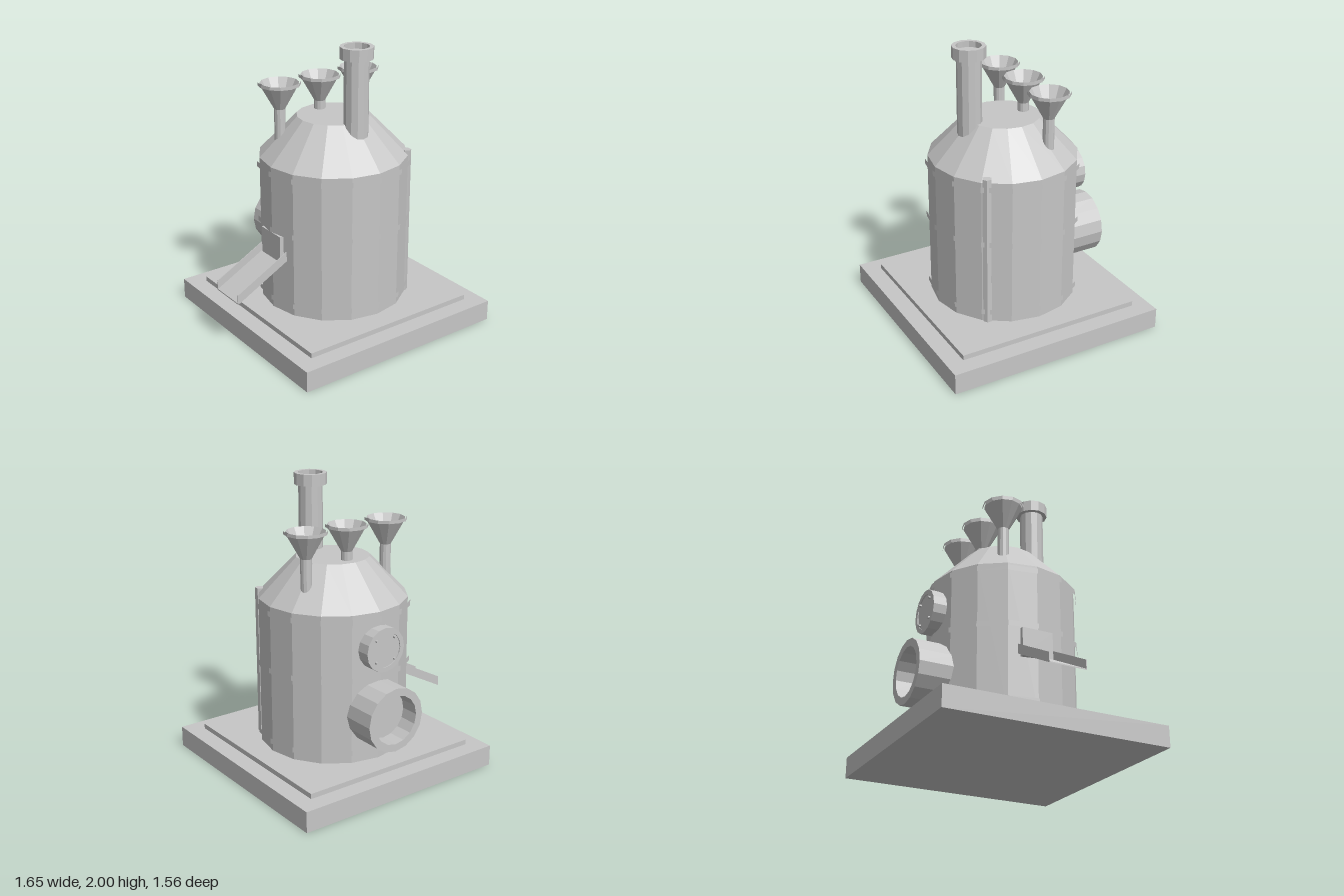
import * as THREE from 'three';

const metal = new THREE.MeshStandardMaterial({ color: 0xc6c6c6 });
metal.name = 'plain grey metal';

const CX = 0.043; // axis of the vessel

export function createModel() {
  const root = new THREE.Group();
  root.name = 'boilerTank';

  // Faceted mesh with one normal per face
  function add(name, geometry, x = 0, y = 0, z = 0, parent = root) {
    const g = geometry.index ? geometry.toNonIndexed() : geometry;
    g.computeVertexNormals();
    const mesh = new THREE.Mesh(g, metal);
    mesh.name = name;
    mesh.position.set(x, y, z);
    parent.add(mesh);
    return mesh;
  }
  const box = (w, h, d) => new THREE.BoxGeometry(w, h, d);
  const lathe = (points, sides) =>
    new THREE.LatheGeometry(points.map(([r, y]) => new THREE.Vector2(r, y)), sides);

  // Stepped base
  add('baseSlab', box(1.564, 0.145, 1.564), CX, 0.0725, 0);
  add('basePlinth', box(1.324, 0.035, 1.324), CX, 0.1625, 0);

  // Vessel with conical shoulder and flat top
  add('vessel', lathe([[0.51, 0.17], [0.51, 1.21], [0.25, 1.48], [0, 1.48]], 16), CX);

  // Open hoops standing just off the vessel wall
  for (const y of [0.257, 0.77, 1.168]) {
    add('hoop', new THREE.CylinderGeometry(0.527, 0.527, 0.037, 16, 1, true), CX, y, 0);
  }

  // Upright rod on the front corner
  add('sideRod', new THREE.CylinderGeometry(0.033, 0.033, 1.06, 6), 0.418, 0.71, 0.327);

  // Chimney with a hollow collar
  add('chimney', lathe([[0.083, 1.3], [0.083, 1.93]], 12), CX, 0, 0.25);
  add('chimneyCollar', lathe([
    [0.083, 1.92], [0.112, 1.92], [0.112, 2], [0.085, 2], [0.085, 1.96], [0, 1.96],
  ], 12), CX, 0, 0.25);

  // Three filling funnels
  for (const x of [-0.285, CX, 0.37]) {
    const funnel = new THREE.Group();
    funnel.name = 'funnel';
    funnel.position.set(x, 0, -0.155);
    root.add(funnel);
    add('funnelStem', lathe([[0.038, 1.25], [0.038, 1.54]], 12), 0, 0, 0, funnel);
    add('funnelCone', lathe([
      [0.038, 1.54], [0.13, 1.705], [0.13, 1.722], [0.07, 1.61], [0, 1.61],
    ], 12), 0, 0, 0, funnel);
    add('funnelRim', new THREE.CylinderGeometry(0.143, 0.143, 0.02, 12, 1, true), 0, 1.714, 0, funnel);
  }

  // Large open outlet pipe at the back
  const outlet = add('outletPipe', lathe([
    [0.222, 0.42], [0.222, 0.69], [0.17, 0.69], [0.17, 0.56], [0, 0.56],
  ], 16), CX, 0.515, 0);
  outlet.rotation.x = -Math.PI / 2;

  // Bolted inspection hatch above it
  const hatch = new THREE.Group();
  hatch.name = 'inspectionHatch';
  hatch.position.set(CX, 0.968, 0);
  hatch.rotation.x = -Math.PI / 2;
  root.add(hatch);
  add('hatchDrum', lathe([
    [0.152, 0.44], [0.152, 0.575], [0.12, 0.575], [0.12, 0.568], [0, 0.568],
  ], 16), 0, 0, 0, hatch);
  for (let i = 0; i < 4; i++) {
    const a = Math.PI / 4 + (i * Math.PI) / 2;
    add('hatchBolt', new THREE.CylinderGeometry(0.011, 0.011, 0.02, 6),
      0.105 * Math.cos(a), 0.575, 0.105 * Math.sin(a), hatch);
  }

  // Sloping discharge chute: floor and two thin side walls
  function slopedPlate(height, depth) {
    const s = new THREE.Shape();
    s.moveTo(-0.83, 0.365);
    s.lineTo(-0.44, 0.57);
    s.lineTo(-0.44, 0.57 + height);
    s.lineTo(-0.83, 0.365 + height);
    return new THREE.ExtrudeGeometry(s, { depth, bevelEnabled: false });
  }
  add('chuteFloor', slopedPlate(0.008, 0.264), 0, 0, -0.132);
  add('chuteWall', slopedPlate(0.068, 0.006), 0, 0, 0.126);
  add('chuteWall', slopedPlate(0.068, 0.006), 0, 0, -0.132);
  add('chuteDoor', box(0.045, 0.195, 0.22), -0.4525, 0.648, -0.005);

  return root;
}
